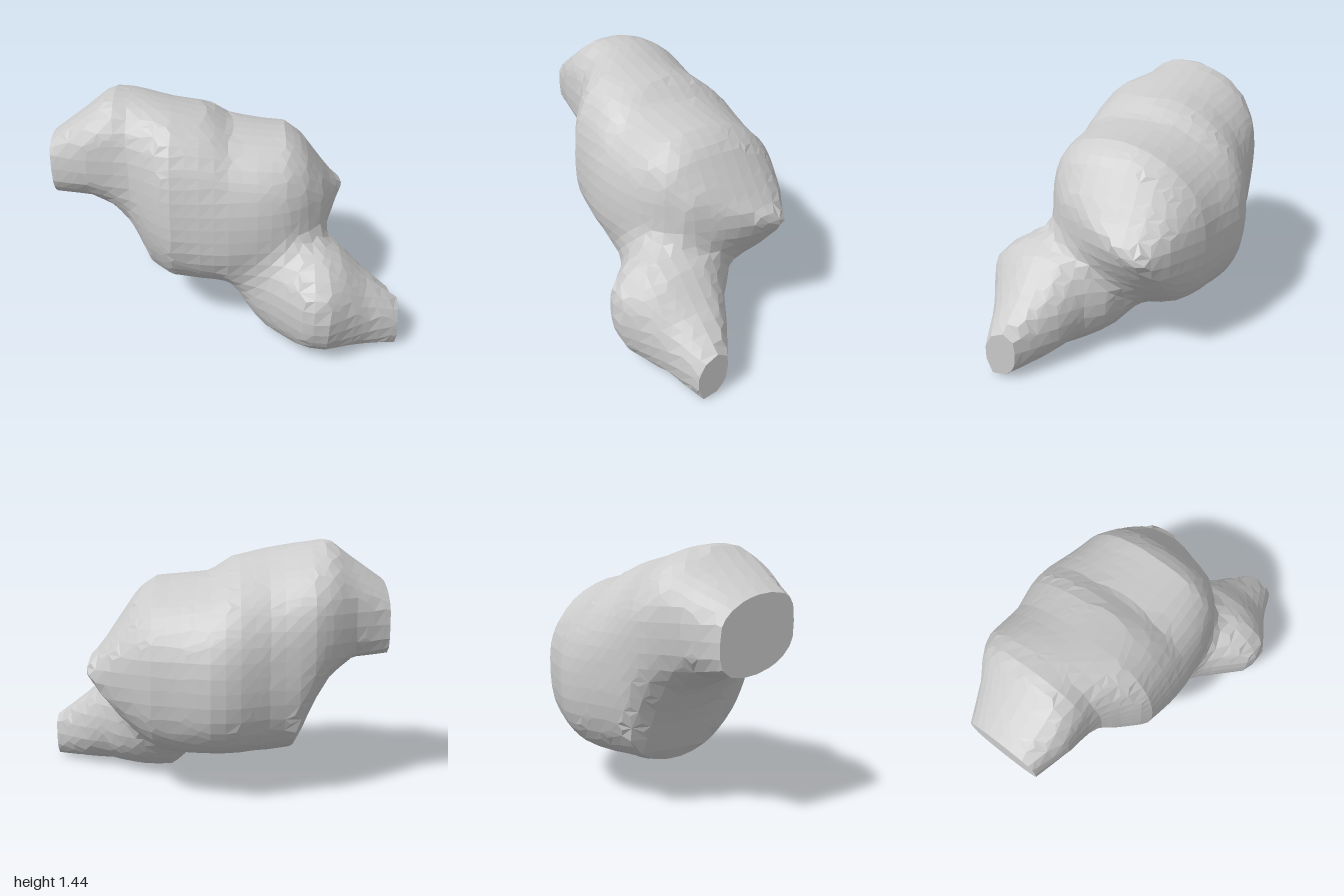
import * as THREE from 'three';

const material = new THREE.MeshStandardMaterial({ color: 0xcccccc, flatShading: true });

// Each station: x, top y, bottom y, front z, back z, y of the widest level.
const bodyStations = [
  [-1.00, 1.21, 0.80, 0.15, -0.31, 1.01],
  [-0.80, 1.35, 0.78, 0.21, -0.40, 1.06],
  [-0.67, 1.445, 0.69, 0.22, -0.50, 1.04],
  [-0.57, 1.43, 0.53, 0.23, -0.555, 0.98],
  [-0.47, 1.415, 0.27, 0.30, -0.57, 0.90],
  [-0.34, 1.39, 0.24, 0.41, -0.58, 0.82],
  [-0.12, 1.34, 0.235, 0.43, -0.66, 0.70],
  [0.01, 1.255, 0.235, 0.43, -0.66, 0.69],
  [0.20, 1.235, 0.23, 0.41, -0.60, 0.71],
  [0.33, 1.225, 0.27, 0.37, -0.57, 0.73],
  [0.43, 1.15, 0.35, 0.31, -0.52, 0.74],
  [0.54, 0.99, 0.47, 0.20, -0.465, 0.74],
  [0.64, 0.84, 0.61, -0.05, -0.39, 0.74],
  [0.70, 0.78, 0.69, -0.24, -0.34, 0.74],
];

const limbStations = [
  [0.06, 0.55, 0.26, 0.32, -0.12, 0.42],
  [0.15, 0.62, 0.11, 0.39, -0.17, 0.38],
  [0.24, 0.67, 0.025, 0.45, -0.18, 0.37],
  [0.43, 0.68, 0.00, 0.64, -0.16, 0.37],
  [0.55, 0.65, 0.005, 0.66, -0.09, 0.36],
  [0.65, 0.59, 0.01, 0.60, 0.02, 0.32],
  [0.79, 0.45, 0.01, 0.52, 0.10, 0.24],
  [1.00, 0.29, 0.01, 0.44, 0.25, 0.16],
];

// Approximate signed distance to a mass with egg-shaped, leaning cross-sections.
function mass(stations, lean, power, from, to) {
  return (x, y, z) => {
    let i = 1;
    while (i < stations.length - 1 && stations[i][0] < x) i++;
    const a = stations[i - 1], b = stations[i];
    const t = THREE.MathUtils.clamp((x - a[0]) / (b[0] - a[0]), 0, 1);
    const [, top, bottom, front, back, level] = a.map((v, n) => v + (b[n] - v) * t);
    const halfHeight = y > level ? top - level : level - bottom;
    const halfDepth = (front - back) / 2;
    const v = (y - level) / halfHeight;
    const s = THREE.MathUtils.clamp(v, -1, 1);
    const u = (z - (front + back) / 2 - lean * s * Math.abs(s)) / halfDepth;
    const r = (Math.abs(u) ** power + Math.abs(v) ** power) ** (1 / power);
    return Math.max((r - 1) * Math.min(halfHeight, halfDepth), from - x, x - to);
  };
}

const mainBody = mass(bodyStations, 0.09, 2.25, -2, 0.7);
const lowerLimb = mass(limbStations, -0.03, 2.2, 0.06, 2);

// Joins the two masses with a soft fillet.
function blend(x, y, z) {
  const a = mainBody(x, y, z), b = lowerLimb(x, y, z), radius = 0.13;
  return Math.min(a, b) - Math.max(radius - Math.abs(a - b), 0) ** 2 / (4 * radius);
}

// Moves a point onto the blended surface; points on a cut end keep their x.
function settle(p, onCut) {
  const e = 0.004;
  for (let n = 0; n < 4; n++) {
    const f = blend(...p);
    const slope = p.map((_, k) => {
      if (k === 0 && onCut) return 0;
      const q = [...p];
      q[k] += e;
      return (blend(...q) - f) / e;
    });
    const step = THREE.MathUtils.clamp(f / Math.max(Math.hypot(...slope) ** 2, 0.2), -0.04, 0.04);
    p = p.map((c, k) => c - step * slope[k]);
    p[0] = THREE.MathUtils.clamp(p[0], -1, 1);
  }
  return p;
}

// Skins the field with one vertex per boundary cell, cut flat at x = -1 and x = 1.
function skin() {
  const cell = 0.08, far = 1e6;
  const size = [28, 22, 22];
  const stride = [size[1] * size[2], size[2], 1];
  const total = size[0] * stride[0];
  const coords = (n) => stride.map((s, d) => Math.floor(n / s) % size[d]);
  const place = ([i, j, k]) => [-1 + (i - 1) * cell, -0.1 + j * cell, -0.84 + k * cell];
  const field = Array.from({ length: total }, (_, n) => {
    const c = coords(n);
    return c[0] === 0 || c[0] === size[0] - 1 ? far : blend(...place(c));
  });
  const points = [], index = [], vertexOf = new Map();

  for (let n = 0; n < total; n++) {
    const c = coords(n);
    if (c.some((v, d) => v === size[d] - 1)) continue;
    const surface = [], cut = [];
    for (let d = 0; d < 3; d++) {
      const u = (d + 1) % 3, w = (d + 2) % 3;
      for (const [du, dw] of [[0, 0], [1, 0], [0, 1], [1, 1]]) {
        const start = n + du * stride[u] + dw * stride[w];
        const a = field[start], b = field[start + stride[d]];
        if (a < 0 === b < 0) continue;
        const p = place(coords(start));
        p[d] += (cell * a) / (a - b);
        (Math.max(a, b) === far ? cut : surface).push(p);
      }
    }
    const crossings = surface.length ? surface : cut;
    if (!crossings.length) continue;
    const mean = [0, 1, 2].map((k) => crossings.reduce((sum, p) => sum + p[k], 0) / crossings.length);
    vertexOf.set(n, points.length);
    points.push(surface.length ? settle(mean, cut.length > 0 || c[0] === 0 || c[0] === size[0] - 2) : mean);
  }

  for (let n = 0; n < total; n++) {
    const c = coords(n);
    for (let d = 0; d < 3; d++) {
      if (c[d] === size[d] - 1 || field[n] < 0 === field[n + stride[d]] < 0) continue;
      const su = stride[(d + 1) % 3], sw = stride[(d + 2) % 3];
      const quad = [n, n - su, n - su - sw, n - sw].map((m) => vertexOf.get(m));
      if (field[n] >= 0) quad.reverse();
      const [p, q, r, s] = quad;
      index.push(p, q, r, p, r, s);
    }
  }

  const geometry = new THREE.BufferGeometry();
  geometry.setAttribute('position', new THREE.Float32BufferAttribute(points.flat(), 3));
  geometry.setIndex(index);
  geometry.computeVertexNormals();
  return geometry;
}

export function createModel() {
  const group = new THREE.Group();
  group.name = 'facetedBlob';
  // Upper mass and lower limb in one continuous skin
  const body = new THREE.Mesh(skin(), material);
  body.name = 'bodyWithLimb';
  group.add(body);
  return group;
}
